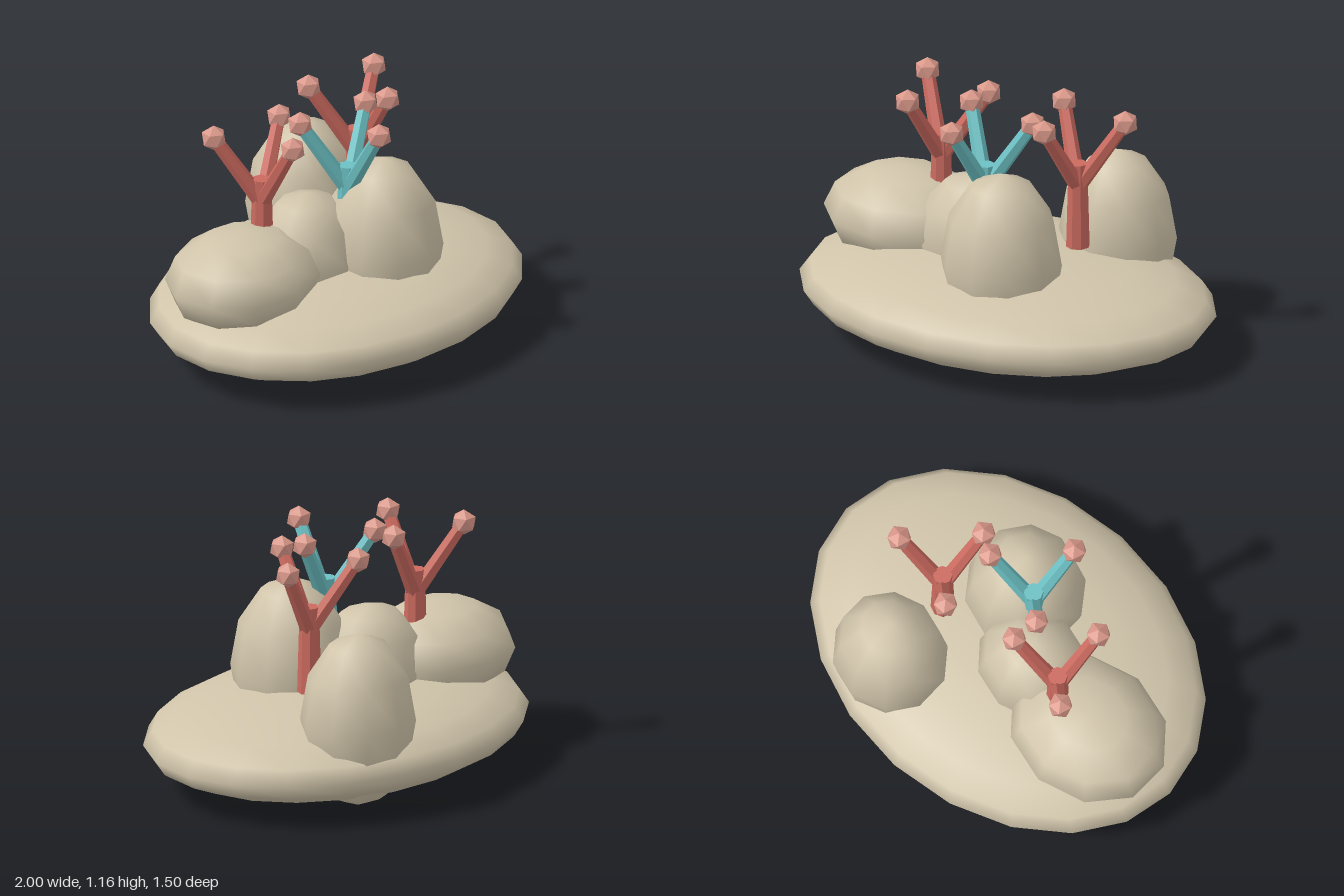
import * as THREE from 'three';

const stone = new THREE.MeshStandardMaterial({ color: 0xd0c4aa });
stone.name = 'sandStone';
const red = new THREE.MeshStandardMaterial({ color: 0xcb6a5f, flatShading: true });
red.name = 'redCoral';
const teal = new THREE.MeshStandardMaterial({ color: 0x6cc0c3, flatShading: true });
teal.name = 'tealCoral';
const pink = new THREE.MeshStandardMaterial({ color: 0xd99789, flatShading: true });
pink.name = 'pinkTip';

// Smooth low-poly ellipsoid with a corner facing +z
function ellipsoid(name, center, radii, around, rings) {
  const geo = new THREE.SphereGeometry(1, around, rings);
  geo.rotateY(Math.PI / 2);
  geo.scale(...radii);
  const mesh = new THREE.Mesh(geo, stone);
  mesh.name = name;
  mesh.position.set(...center);
  return mesh;
}

// Tapered rod between two points
function rod(name, a, b, r0, r1, sides, material) {
  const dir = b.clone().sub(a);
  const mesh = new THREE.Mesh(new THREE.CylinderGeometry(r1, r0, dir.length(), sides), material);
  mesh.name = name;
  mesh.position.copy(a).add(b).multiplyScalar(0.5);
  mesh.quaternion.setFromUnitVectors(new THREE.Vector3(0, 1, 0), dir.normalize());
  return mesh;
}

// Trunk with three spread branches, each ending in a faceted ball
function coral(name, x, z, material) {
  const group = new THREE.Group();
  group.name = name;
  group.position.set(x, 0, z);
  group.add(rod('trunk', new THREE.Vector3(0, 0.475, 0), new THREE.Vector3(0, 0.88, 0), 0.055, 0.044, 8, material));
  const ball = new THREE.IcosahedronGeometry(0.06, 0);
  ball.rotateX(-Math.atan((1 + Math.sqrt(5)) / 2)); // one corner straight up
  for (let i = 0; i < 3; i++) {
    const a = -0.24 + i * Math.PI * 2 / 3;
    const tip = new THREE.Vector3(Math.sin(a) * 0.22, 1.097, Math.cos(a) * 0.22);
    group.add(rod('branch', new THREE.Vector3(0, 0.765, 0), tip, 0.039, 0.031, 6, material));
    const bud = new THREE.Mesh(ball, pink);
    bud.name = 'branchTip';
    bud.position.copy(tip);
    group.add(bud);
  }
  return group;
}

export function createModel() {
  const model = new THREE.Group();
  model.name = 'coralReef';

  // Flat stone base
  model.add(ellipsoid('base', [0, 0.22, 0], [1, 0.22, 0.75], 20, 10));

  // Boulders
  model.add(ellipsoid('leftBoulder', [-0.58, 0.46, -0.09], [0.39, 0.225, 0.33], 10, 6));
  model.add(ellipsoid('middleBoulder', [-0.19, 0.44, -0.03], [0.28, 0.315, 0.24], 10, 6));
  model.add(ellipsoid('frontBoulder', [0.08, 0.47, 0.2], [0.28, 0.425, 0.275], 10, 6));
  model.add(ellipsoid('backBoulder', [0.325, 0.425, -0.43], [0.275, 0.41, 0.255], 10, 6));

  // Corals
  model.add(coral('redCoralLeft', -0.41, -0.11, red));
  model.add(coral('tealCoral', -0.055, 0.11, teal));
  model.add(coral('redCoralRight', 0.3, -0.11, red));
  return model;
}
